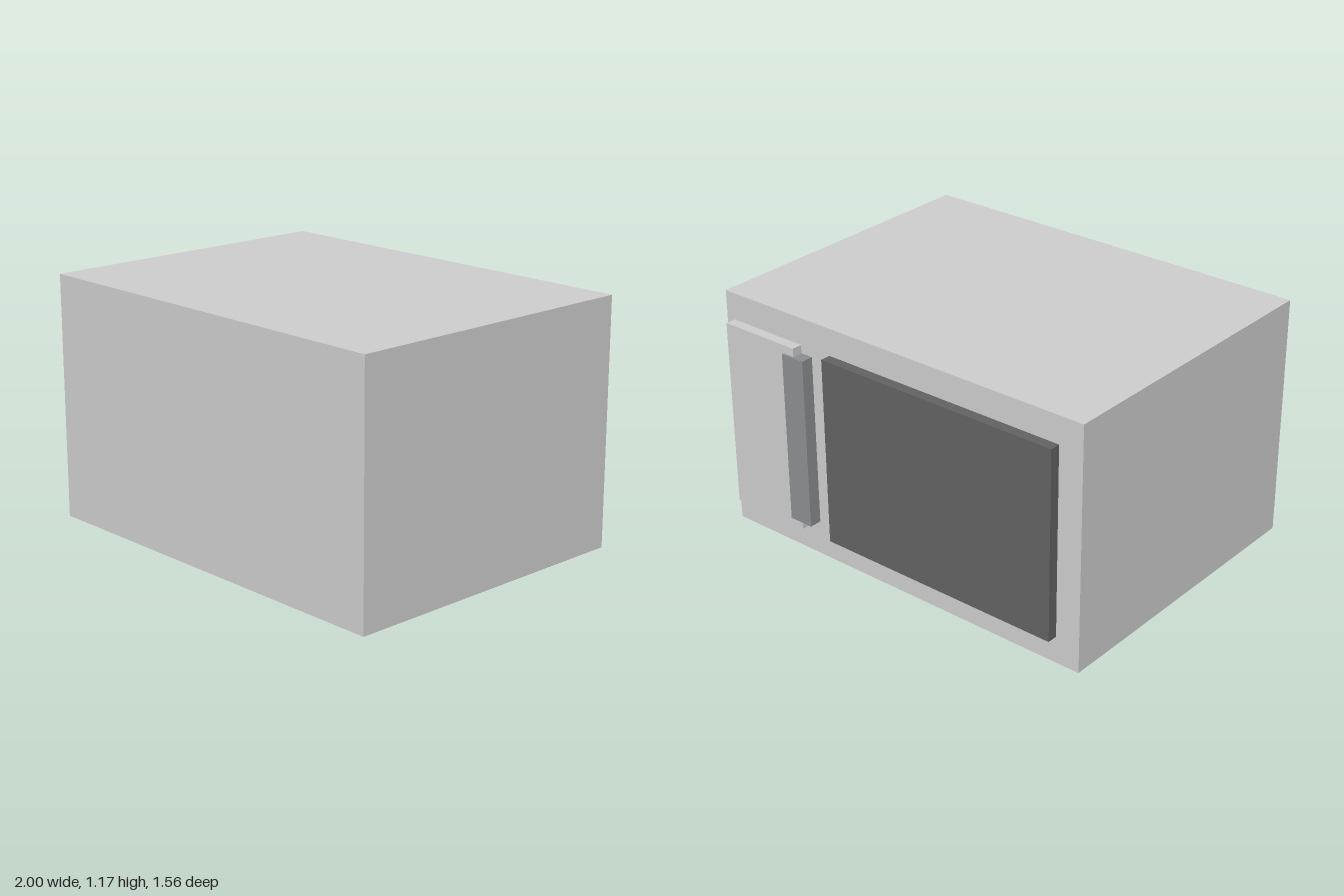
import * as THREE from 'three';

// Box given by its min and max corners
function block(name, [x0, y0, z0], [x1, y1, z1], color = 0xcccccc) {
  const geometry = new THREE.BoxGeometry(x1 - x0, y1 - y0, z1 - z0);
  const mesh = new THREE.Mesh(geometry, new THREE.MeshStandardMaterial({ color }));
  mesh.position.set((x0 + x1) / 2, (y0 + y1) / 2, (z0 + z1) / 2);
  mesh.name = name;
  return mesh;
}

export function createModel() {
  const group = new THREE.Group();
  group.name = 'microwaveOven';
  const face = -0.72; // plane that carries the door, handle and controls

  group.add(
    block('body', [-1, 0, face], [1, 1.17, 0.78]),
    // Dark door window
    block('doorWindow', [-0.88, 0.13, -0.77], [0.37, 1.04, face], 0x626263),
    // Control panel beside the door
    block('controlPanel', [0.54, 0.13, -0.77], [0.955, 1.04, face]),
    // Upright handle overlapping the panel edge
    block('handle', [0.477, 0.17, -0.78], [0.6, 1.0, face], 0x8b8c90),
  );
  return group;
}
